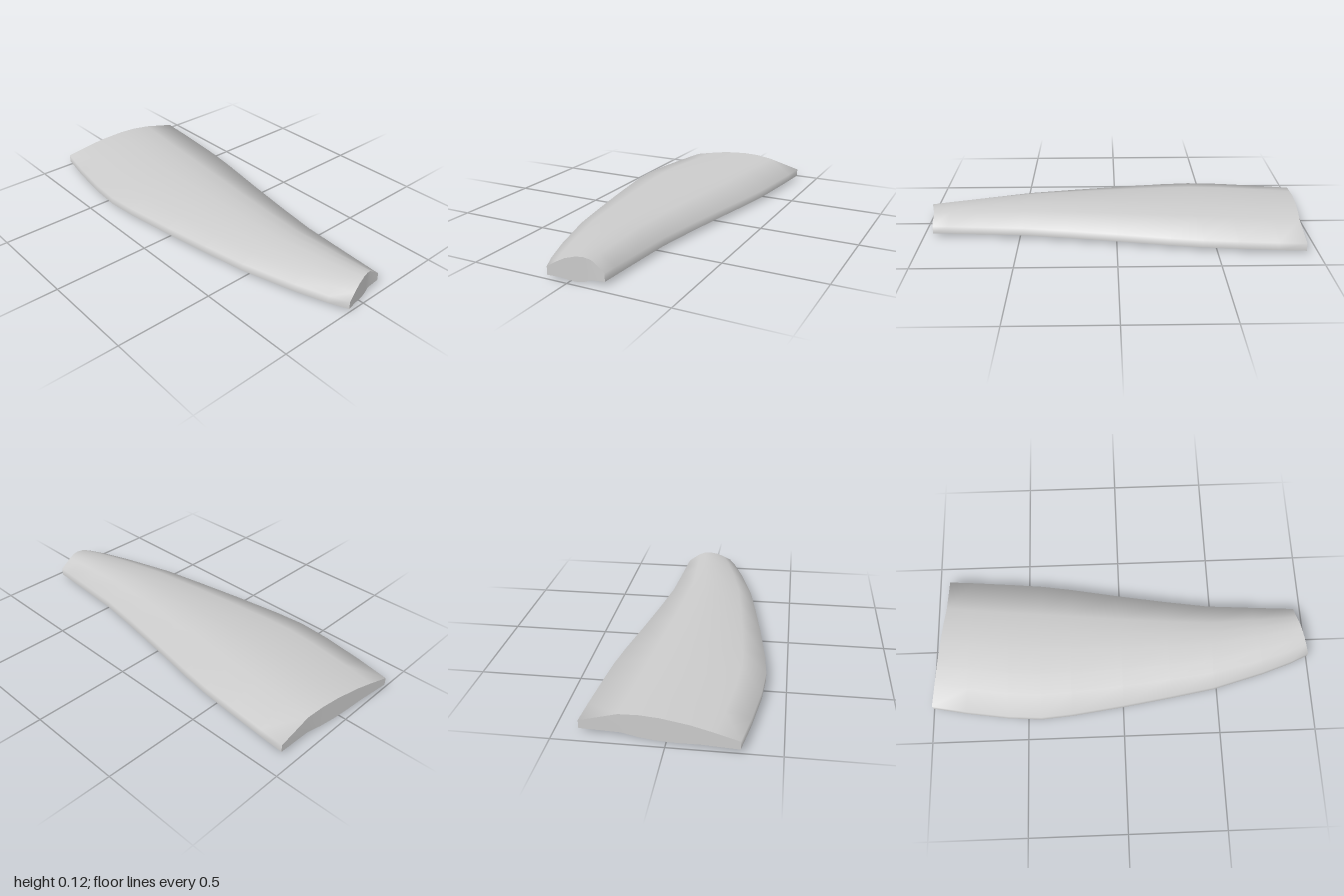
import * as THREE from 'three';
import { toCreasedNormals } from 'three/addons/utils/BufferGeometryUtils.js';

// Plan outline, back to front: [left edge x, z, right edge x, z]
const STATIONS = [
  [-0.32, -1.0, 0.39, -0.935],
  [-0.355, -0.82, 0.38, -0.8],
  [-0.388, -0.6, 0.362, -0.6],
  [-0.4, -0.43, 0.345, -0.43],
  [-0.387, -0.27, 0.32, -0.27],
  [-0.35, 0.0, 0.27, 0.0],
  [-0.31, 0.25, 0.227, 0.25],
  [-0.27, 0.48, 0.192, 0.48],
  [-0.195, 0.75, 0.175, 0.72],
  [-0.14, 0.91, 0.165, 0.87],
  [-0.1, 1.0, 0.16, 0.95],
];

// Cross-section: [fraction of width, height], the top left to right, then the underside back again
const TOP = [[0, 0.06], [0.16, 0.085], [0.3, 0.104], [0.49, 0.117], [0.62, 0.117], [0.75, 0.107], [1, 0.06]];
const UNDERSIDE = [[1, 0.02], [0.74, 0.014], [0.62, 0.003], [0.5, 0], [0.38, 0.004], [0.24, 0.014], [0, 0.02]];
const SECTION = [...TOP, ...UNDERSIDE];
const N = SECTION.length;

function buildGeometry(positions, quads) {
  const index = quads.flatMap(([a, b, c, d]) => [a, b, c, a, c, d]);
  const geometry = new THREE.BufferGeometry();
  geometry.setAttribute('position', new THREE.Float32BufferAttribute(positions, 3));
  geometry.setIndex(index);
  return geometry;
}

export function createModel() {
  const group = new THREE.Group();
  group.name = 'taperedBlade';
  const material = new THREE.MeshStandardMaterial({ color: 0xcccccc });

  // Section points for every station; the slanted ends level off toward the right edge
  const positions = STATIONS.flatMap(([xl, zl, xr, zr]) =>
    SECTION.flatMap(([u, y]) => [
      THREE.MathUtils.lerp(xl, xr, u), y, THREE.MathUtils.lerp(zl, zr, Math.min(1, u / 0.75)),
    ]));

  // Lofted outer surface
  const skinQuads = [];
  for (let i = 0; i < STATIONS.length - 1; i++) {
    for (let j = 0; j < N; j++) {
      const k = (j + 1) % N;
      skinQuads.push([i * N + j, (i + 1) * N + j, (i + 1) * N + k, i * N + k]);
    }
  }
  const skin = new THREE.Mesh(toCreasedNormals(buildGeometry(positions, skinQuads), 1.4), material);
  skin.name = 'bladeSurface';
  group.add(skin);

  // End faces, as strips between the top and the underside
  const addEnd = (name, row, front) => {
    const quads = [];
    for (let j = 0; j < TOP.length - 1; j++) {
      const quad = [j, N - 1 - j, N - 2 - j, j + 1].map((v) => row * N + v);
      quads.push(front ? quad : quad.reverse());
    }
    const end = new THREE.Mesh(toCreasedNormals(buildGeometry(positions, quads), 0.6), material);
    end.name = name;
    group.add(end);
  };
  addEnd('backEnd', 0, false);
  addEnd('frontEnd', STATIONS.length - 1, true);

  return group;
}
